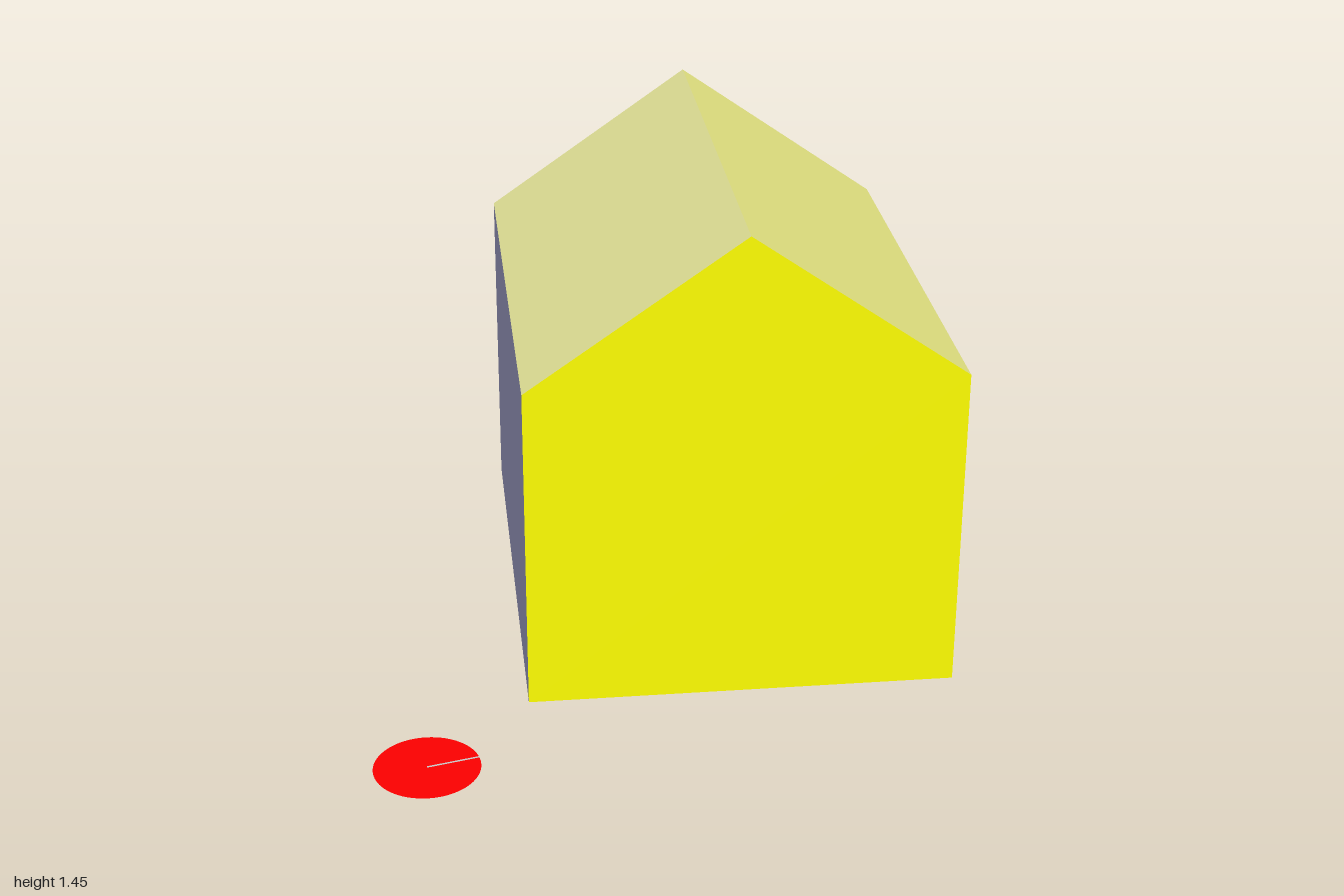
import * as THREE from 'three';

export function createModel() {
  const group = new THREE.Group();
  const x0 = -0.408, x1 = 0.865, xMid = (x0 + x1) / 2;
  const back = -1, front = 0.537, eave = 1, ridge = 1.445;
  const depth = front - back, zMid = (front + back) / 2;

  function add(name, geometry, color) {
    const material = new THREE.MeshStandardMaterial({ color, side: THREE.DoubleSide });
    const mesh = new THREE.Mesh(geometry, material);
    mesh.name = name;
    group.add(mesh);
    return mesh;
  }

  // Gable walls: the same five-sided outline at both ends
  const gable = new THREE.Shape([
    [x0, 0], [x1, 0], [x1, eave], [xMid, ridge], [x0, eave],
  ].map(([x, y]) => new THREE.Vector2(x, y)));
  add('frontWall', new THREE.ShapeGeometry(gable), 0xffff00).position.z = front;
  // Mirrored outline turned to face backwards
  const backWall = add('backWall', new THREE.ShapeGeometry(gable), 0x0000ff);
  backWall.rotation.y = Math.PI;
  backWall.position.set(2 * xMid, 0, back);

  // Thin panel spanning the depth, between two points of the outline
  function panel(name, ax, ay, bx, by, color) {
    const geometry = new THREE.PlaneGeometry(depth, Math.hypot(bx - ax, by - ay));
    geometry.rotateY(Math.PI / 2);
    geometry.rotateZ(Math.atan2(by - ay, bx - ax) - Math.PI / 2);
    add(name, geometry, color).position.set((ax + bx) / 2, (ay + by) / 2, zMid);
  }
  panel('leftWall', x1, 0, x1, eave, 0xbfbfbf);
  panel('leftRoof', x1, eave, xMid, ridge, 0xeeee88);
  panel('rightRoof', xMid, ridge, x0, eave, 0xe4e498);
  panel('rightWall', x0, eave, x0, 0, 0xaaaad4);

  // Flat disc on the ground with a fine pointer line
  const radius = 0.153;
  const disc = add('groundDisc', new THREE.CircleGeometry(radius, 64).rotateX(-Math.PI / 2), 0xff0000);
  disc.position.set(-0.715, 0, 0.845);
  const line = new THREE.PlaneGeometry(radius, 0.007).rotateX(-Math.PI / 2);
  line.translate(radius / 2, 0.001, 0);
  const pointer = add('discPointer', line, 0xcccccc);
  pointer.position.copy(disc.position);
  pointer.rotation.y = 0.235;

  return group;
}
